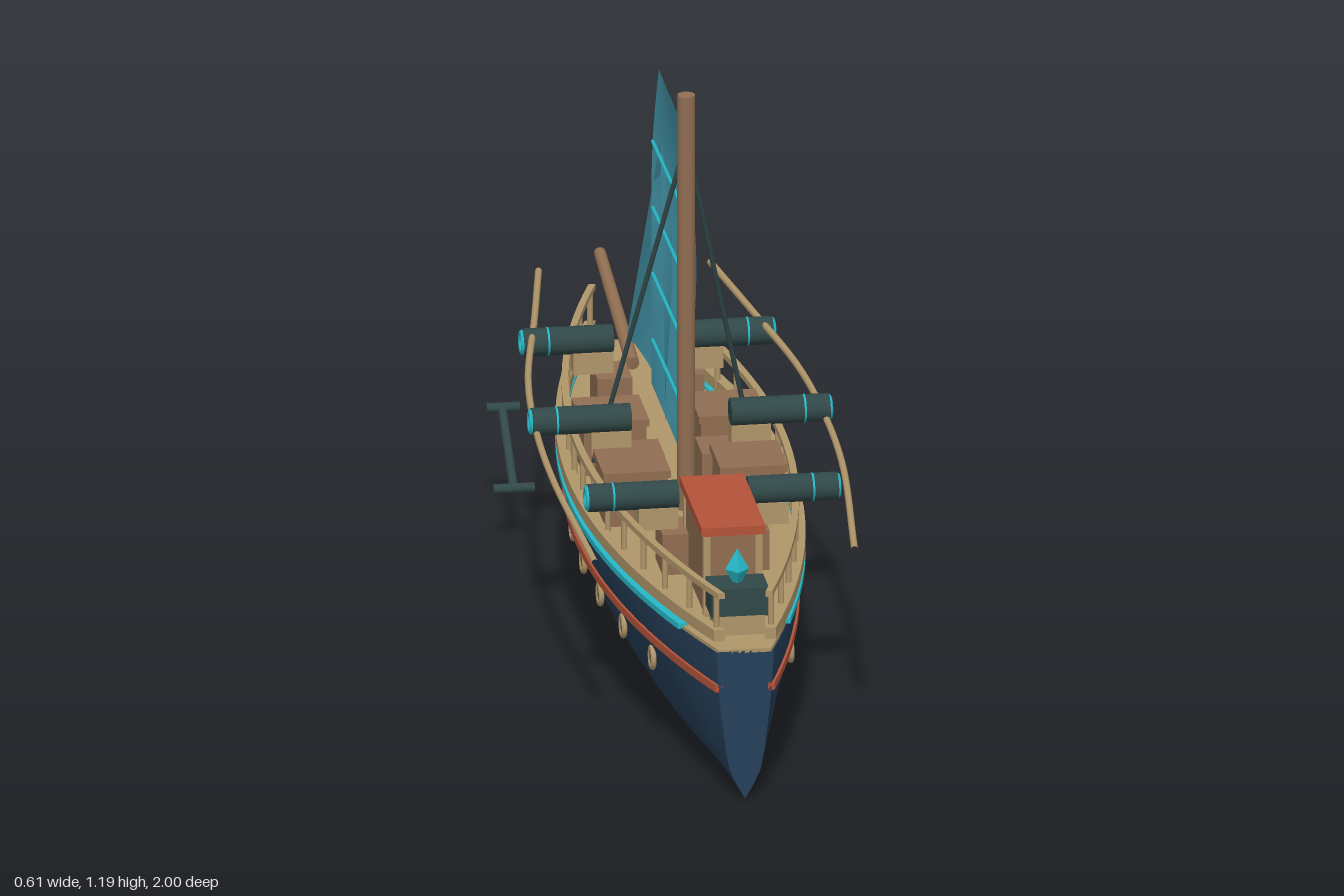
import * as THREE from 'three';

const mat = (name, color, side = THREE.FrontSide) => {
  const m = new THREE.MeshStandardMaterial({ color, side });
  m.name = name;
  return m;
};

export function createModel() {
  const navy = mat('hull navy', 0x26405a, THREE.DoubleSide);
  const tan = mat('deck tan', 0xb0966a);
  const brown = mat('timber brown', 0x916e52);
  const dark = mat('dark iron', 0x314848);
  const cyan = mat('bright cyan', 0x27b8c8);
  const red = mat('red trim', 0xb4533a);
  const cloth = mat('sail teal', 0x479db2, THREE.DoubleSide);

  const model = new THREE.Group();
  model.name = 'sailingShip';
  const add = (name, geo, material, x = 0, y = 0, z = 0) => {
    const m = new THREE.Mesh(geo, material);
    m.name = name;
    m.position.set(x, y, z);
    model.add(m);
    return m;
  };
  const box = (name, material, w, h, d, x, y, z) =>
    add(name, new THREE.BoxGeometry(w, h, d), material, x, y, z);
  // Round bar between two points
  const bar = (name, material, a, b, r, r2 = r, sides = 12) => {
    const p = new THREE.Vector3(...a), q = new THREE.Vector3(...b);
    const dir = q.clone().sub(p);
    const m = add(name, new THREE.CylinderGeometry(r2, r, dir.length(), sides), material);
    m.position.copy(p).add(q).multiplyScalar(0.5);
    m.quaternion.setFromUnitVectors(new THREE.Vector3(0, 1, 0), dir.normalize());
    return m;
  };

  // Half width of the ship in plan
  const Z0 = -0.78, Z1 = 1;
  const half = z => 0.057 + 0.163 * (1 - ((z - 0.11) / 0.89) ** 2);
  const stations = (a, b, n = 32) => Array.from({ length: n + 1 }, (_, i) => a + (b - a) * i / n);

  // Hull lofted from one scaled section
  const side = [[0, 0], [0.3, 0.03], [0.55, 0.062], [0.67, 0.1], [0.78, 0.15], [0.88, 0.2], [0.95, 0.25], [0.985, 0.285], [1, 0.312]];
  const section = [...side.slice(1).reverse().map(([x, y]) => [-x, y]), ...side];
  const pos = [], idx = [], cols = section.length;
  const zs = stations(Z0, Z1);
  zs.forEach((z, i) => section.forEach(([x, y], j) => {
    pos.push(x * half(z), y, z);
    if (i < zs.length - 1 && j < cols - 1) {
      const a = i * cols + j, c = a + cols;
      idx.push(a, a + 1, c, a + 1, c + 1, c);
    }
  }));
  const hull = new THREE.BufferGeometry();
  hull.setAttribute('position', new THREE.Float32BufferAttribute(pos, 3));
  hull.setIndex(idx);
  hull.computeVertexNormals();
  add('hull', hull, navy);
  for (const z of [Z0, Z1]) {
    const shape = new THREE.Shape(section.map(([x, y]) => new THREE.Vector2(x * half(z), y)));
    const end = add(z > 0 ? 'frontHullEnd' : 'rearHullEnd', new THREE.ShapeGeometry(shape), navy, 0, 0, z);
    if (z < 0) end.rotation.y = Math.PI;
  }

  // Slab drawn in plan between two outlines and raised by h
  const slab = (name, material, outer, inner, y, h, a = Z0, b = Z1) => {
    const list = stations(a, b);
    const shape = new THREE.Shape([
      ...list.map(z => new THREE.Vector2(outer(z), -z)),
      ...list.reverse().map(z => new THREE.Vector2(inner(z), -z))]);
    const geo = new THREE.ExtrudeGeometry(shape, { depth: h, bevelEnabled: false });
    geo.rotateX(-Math.PI / 2);
    return add(name, geo, material, 0, y, 0);
  };
  slab('deck', tan, z => half(z) - 0.004, z => 0.004 - half(z), 0.308, 0.008);

  for (const s of [-1, 1]) {
    const strip = (name, m, k, out, w, y, h, a, b) =>
      slab(name, m, z => s * (half(z) * k + out), z => s * (half(z) * k + out - w), y, h, a, b);
    strip('gunwaleTrim', cyan, 1, 0.005, 0.02, 0.309, 0.012, -0.65, 0.85);
    strip('hullStripe', red, 0.935, 0.006, 0.014, 0.227, 0.016);
    strip('toeRail', tan, 1, 0.005, 0.022, 0.335, 0.024);
    strip('handRail', tan, 0.96, 0, 0.014, 0.424, 0.012);

    // Rail posts
    for (const z of stations(Z0 + 0.02, Z1 - 0.02, 15))
      bar('railPost', tan, [s * (half(z) * 0.96 - 0.007), 0.34, z], [s * (half(z) * 0.96 - 0.007), 0.43, z], 0.006, 0.006, 8);

    // Portholes
    for (let i = 0; i < 8; i++) {
      const z = 0.67 - i * 0.187, x = s * (half(z) * 0.87 + 0.003);
      add('portholeRing', new THREE.TorusGeometry(0.02, 0.006, 8, 20), tan, x, 0.185, z).rotation.y = Math.PI / 2;
      bar('portholeGlass', dark, [x - 0.003, 0.185, z], [x + 0.003, 0.185, z], 0.019, 0.019, 20);
    }

    // Cannons on timber carriages
    for (const [z, x0, x1] of [[-0.345, 0.07, 0.25], [0.105, 0.1, 0.298], [0.55, 0.07, 0.25]]) {
      box('cannonCarriage', brown, 0.07, 0.085, 0.1, s * 0.072, 0.373, z);
      box('carriageCradle', tan, 0.08, 0.045, 0.035, s * (x0 + 0.04), 0.437, z);
      bar('cannonBarrel', dark, [s * x0, 0.483, z], [s * x1, 0.483, z], 0.028, 0.028, 20);
      add('muzzleRing', new THREE.TorusGeometry(0.02, 0.006, 8, 20), cyan, s * x1, 0.483, z).rotation.y = Math.PI / 2;
      bar('muzzleBand', cyan, [s * (x1 - 0.052), 0.483, z], [s * (x1 - 0.048), 0.483, z], 0.0286, 0.0286, 20);
    }

    // Deck hatches
    for (const z of [-0.05, 0.245]) {
      box('hatch', brown, 0.125, 0.1, 0.135, s * 0.117, 0.38, z);
      box('hatchLid', brown, 0.135, 0.015, 0.145, s * 0.117, 0.437, z);
    }

    // Anchors
    bar('anchorShank', dark, [s * 0.245, 0.118, -0.5], [s * 0.245, 0.23, -0.66], 0.009);
    bar('anchorStock', dark, [s * 0.21, 0.23, -0.66], [s * 0.276, 0.23, -0.66], 0.01);
    bar('anchorArm', dark, [s * 0.204, 0.118, -0.5], [s * 0.286, 0.118, -0.5], 0.01);

    // Long bowed side pole
    const curve = new THREE.CatmullRomCurve3([[0.172, 0.515, -0.66], [0.215, 0.505, -0.42], [0.27, 0.485, -0.13],
      [0.289, 0.468, 0.1], [0.29, 0.45, 0.35], [0.26, 0.41, 0.72]].map(([x, y, z]) => new THREE.Vector3(s * x, y, z)));
    add('sidePole', new THREE.TubeGeometry(curve, 32, 0.007, 8), tan);

    bar('shroud', dark, [s * 0.012, 1.04, 0.18], [s * 0.16, 0.36, 0.02], 0.005, 0.005, 8);
  }

  // Mast and bowsprit
  bar('mast', brown, [0, 0.315, 0.19], [0, 1.19, 0.19], 0.018, 0.018, 16);
  bar('bowsprit', brown, [0, 0.35, -0.55], [0, 0.42, -0.998], 0.014, 0.012, 16);

  // Sails: flat grids moved onto a bulging surface
  const sail = (name, rule) => {
    const geo = new THREE.PlaneGeometry(1, 1, 16, 20);
    const p = geo.attributes.position;
    for (let i = 0; i < p.count; i++) p.setXYZ(i, ...rule(p.getX(i) + 0.5, p.getY(i) + 0.5));
    geo.computeVertexNormals();
    add(name, geo, cloth);
  };
  const lerp = THREE.MathUtils.lerp;
  const leech = v => v > 0.6 ? -0.2 - 0.1 * Math.sin((1 - v) / 0.4 * Math.PI / 2) : -0.3;
  sail('mainSail', (u, v) => [0.002 + 0.05 * Math.sin(Math.PI * u) * Math.sin(Math.PI * v),
    lerp(0.4, 1.1, v), lerp(0.18, leech(v), u)]);
  sail('foreSail', (u, v) => [0.004 + 0.045 * Math.sin(Math.PI * u) * Math.sin(Math.PI * (0.15 + 0.85 * v)),
    lerp(0.375, 0.96, v), lerp(lerp(-0.12, -0.65, u), -0.19, v)]);
  for (const y of [0.52, 0.66, 0.8, 0.94])
    bar('sailBatten', cyan, [-0.003, y, 0.18], [-0.003, y - 0.01, -0.25], 0.004, 0.004, 8);

  // Deck cabin with red roof
  box('cabin', brown, 0.11, 0.175, 0.28, 0, 0.413, 0.69);
  box('cabinRoof', red, 0.128, 0.018, 0.3, 0, 0.506, 0.69);
  for (const x of [-0.052, 0.052]) for (const z of [0.555, 0.825])
    box('cabinPost', tan, 0.014, 0.17, 0.014, x, 0.413, z);

  // Lantern stand with crystal
  box('lanternBase', tan, 0.1, 0.04, 0.08, 0, 0.34, 0.89);
  box('lanternBox', dark, 0.115, 0.06, 0.08, 0, 0.388, 0.89);
  const gem = new THREE.OctahedronGeometry(0.024);
  gem.scale(1, 1.8, 1);
  add('crystal', gem, cyan, 0, 0.445, 0.89);

  return model;
}
